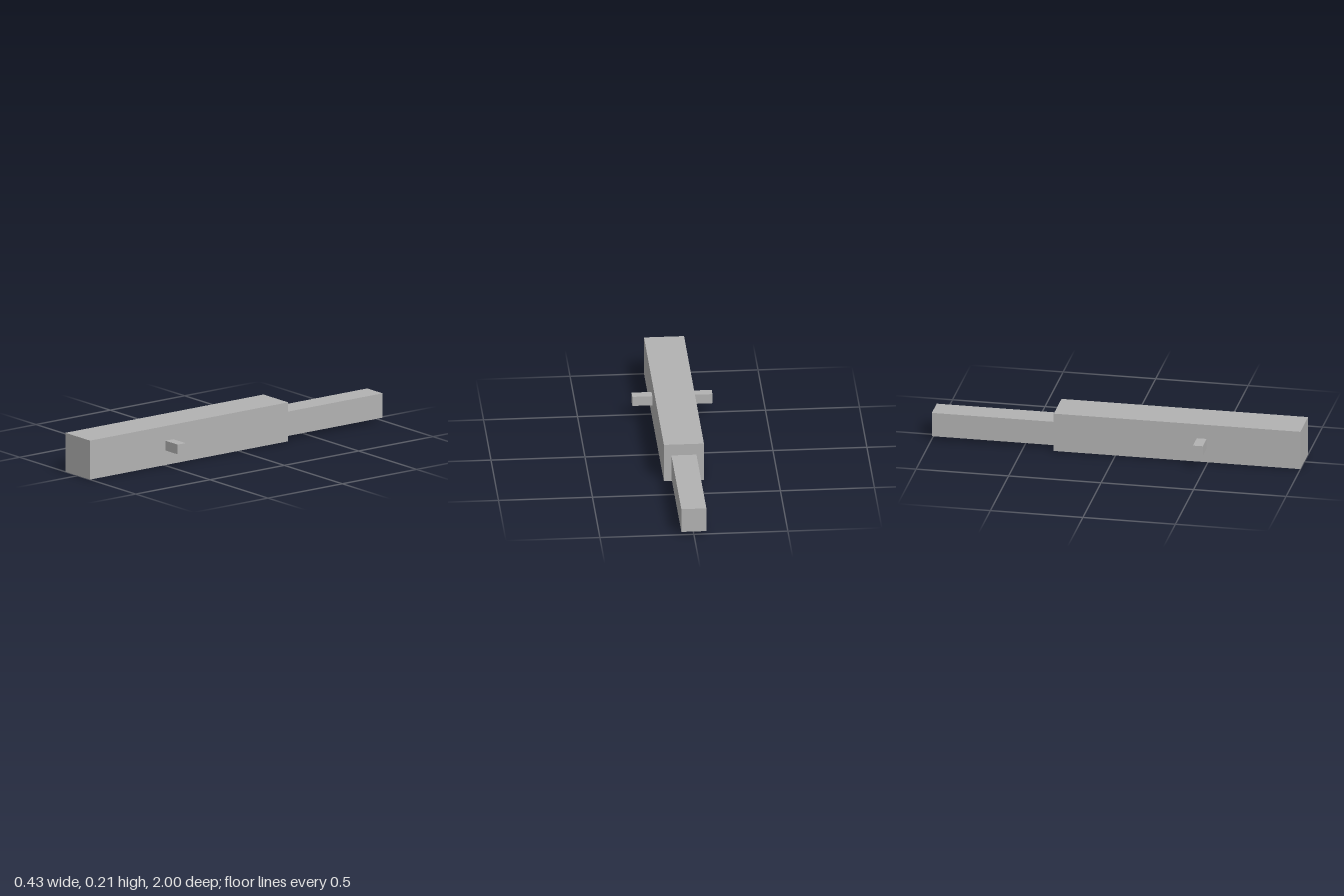
import * as THREE from 'three';

export function createModel() {
  const model = new THREE.Group();
  const grey = new THREE.MeshStandardMaterial({ color: 0xb2b2b2 });
  grey.name = 'plain grey';

  const addBox = (name, size, position) => {
    const mesh = new THREE.Mesh(new THREE.BoxGeometry(...size), grey);
    mesh.name = name;
    mesh.position.set(...position);
    model.add(mesh);
  };

  // Square main beam
  addBox('mainBeam', [0.2133, 0.2133, 1.3333], [0, 0.1067, 0.3333]);

  // Thinner rear bar, set slightly below the beam's centre line
  addBox('rearBar', [0.1333, 0.1333, 0.6667], [0, 0.0833, -0.6667]);

  // Side pegs
  for (const side of [1, -1]) {
    addBox(side > 0 ? 'leftPeg' : 'rightPeg', [0.1067, 0.0533, 0.0533], [side * 0.16, 0.1067, 0.4667]);
  }

  return model;
}
